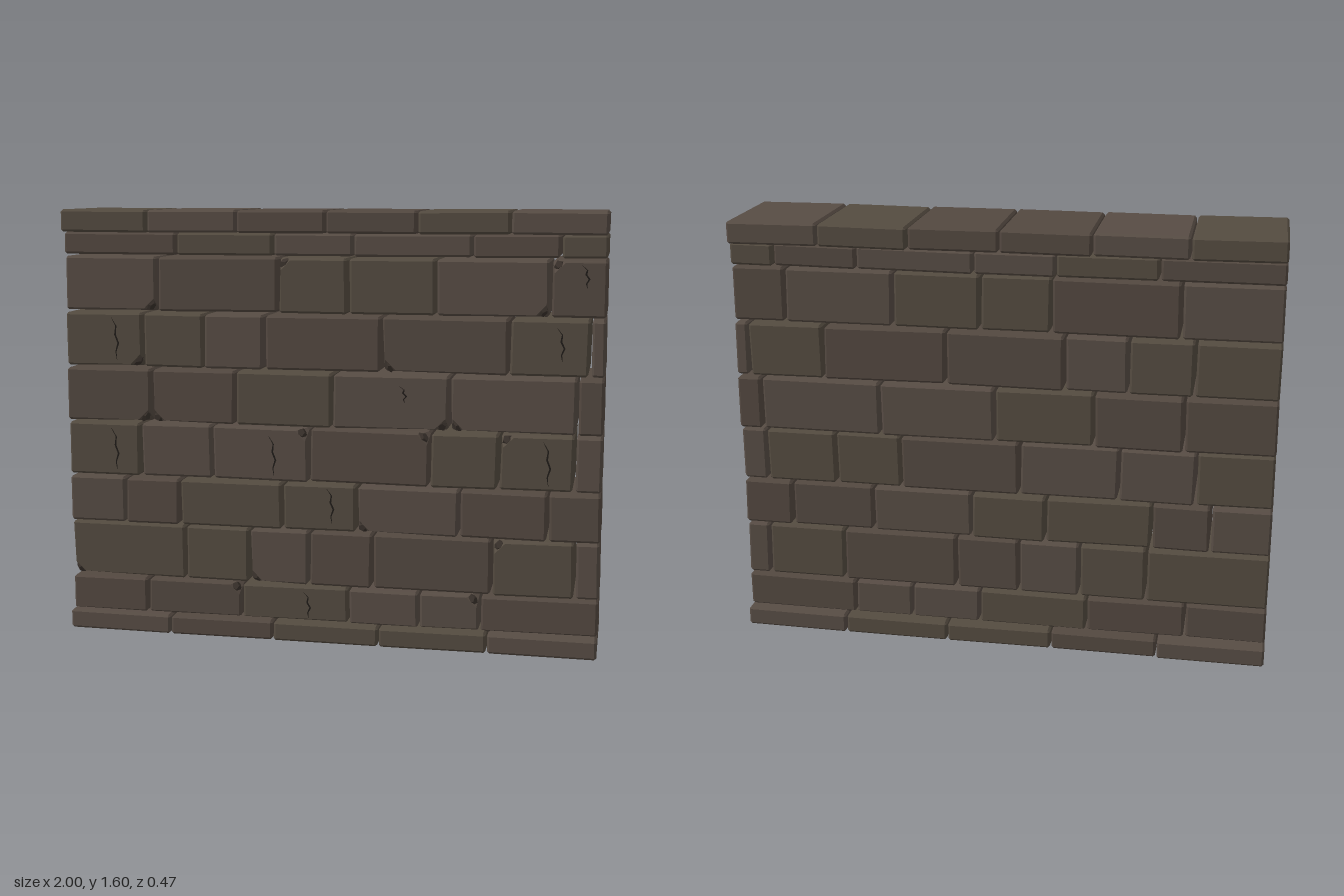
import * as THREE from 'three';
import { ConvexGeometry } from 'three/addons/geometries/ConvexGeometry.js';

const mat = (name, color) => {
  const m = new THREE.MeshStandardMaterial({ color, flatShading: true });
  m.name = name;
  return m;
};

// Courses from bottom to top: y range, z range, x joints, joint gap
const COURSES = [
  { name: 'plinth', y: [0, 0.072], z: [-0.222, 0.224], joints: [-0.6, -0.2, 0.2, 0.6], gap: 0.006 },
  { name: 'brick', y: [0.068, 0.2], z: [-0.174, 0.178], joints: [-0.7, -0.33, 0.08, 0.345, 0.57], gap: 0.009 },
  { name: 'brick', y: [0.208, 0.412], z: [-0.17, 0.176], joints: [-0.55, -0.3, -0.07, 0.17, 0.61, 0.91], gap: 0.01 },
  { name: 'brick', y: [0.42, 0.592], z: [-0.172, 0.184], joints: [-0.78, -0.565, -0.17, 0.11, 0.49, 0.81], gap: 0.01 },
  { name: 'brick', y: [0.601, 0.8], z: [-0.166, 0.174], joints: [-0.72, -0.44, -0.07, 0.38, 0.63, 0.9], gap: 0.01 },
  { name: 'brick', y: [0.81, 1.008], z: [-0.184, 0.187], joints: [-0.67, -0.345, 0.02, 0.45, 0.905], gap: 0.01 },
  { name: 'brick', y: [1.018, 1.217], z: [-0.176, 0.185], joints: [-0.7, -0.465, -0.235, 0.2, 0.66, 0.945], gap: 0.01 },
  { name: 'brick', y: [1.226, 1.426], z: [-0.168, 0.174], joints: [-0.645, -0.185, 0.075, 0.395, 0.8], gap: 0.01 },
  { name: 'corbel', y: [1.434, 1.515], z: [-0.184, 0.176], joints: [-0.565, -0.2, 0.095, 0.525, 0.835], gap: 0.007 },
  { name: 'capStone', y: [1.516, 1.598], z: [-0.205, 0.207], joints: [-0.67, -0.33, 0, 0.33, 0.66], gap: 0.006 },
];

// Broken front corners, near the corner of the brick they belong to
const CHIPS = [
  [-0.73, 1.03], [-0.7, 0.82], [-0.64, 0.82], [0.23, 1.03], [0.77, 1.24], [0.48, 0.83], [0.42, 0.82],
  [-0.1, 0.78], [0.35, 0.78], [0.66, 0.78], [-0.98, 0.23], [-0.27, 0.23], [0.64, 0.39], [0.13, 0.44],
  [-0.35, 0.18], [0.54, 0.18], [-0.67, 1.24], [-0.16, 1.41], [0.83, 1.41],
];

// Cracks: x, top y, bottom y
const CRACKS = [
  [-0.81, 1.2, 1.04], [-0.82, 0.78, 0.62], [-0.21, 0.77, 0.62], [0.8, 0.78, 0.62], [0.01, 0.58, 0.45],
  [-0.08, 0.18, 0.08], [0.84, 1.19, 1.07], [0.92, 1.41, 1.33], [0.28, 0.97, 0.91],
];

export function createModel() {
  const wall = new THREE.Group();
  wall.name = 'stoneWall';
  const stones = [mat('warmStone', 0x574c44), mat('oliveStone', 0x544b40), mat('brownStone', 0x534840)];
  const chipMat = mat('brokenStone', 0x3a322c);
  const crackMat = mat('crackShadow', 0x1f1b18);
  crackMat.side = THREE.DoubleSide;

  let seed = 7;
  const rand = (a) => {
    seed = (seed * 16807) % 2147483647;
    return (seed / 2147483647 * 2 - 1) * a;
  };

  const add = (name, geometry, material) => {
    const mesh = new THREE.Mesh(geometry, material);
    mesh.name = name;
    wall.add(mesh);
    return mesh;
  };

  // Lay out the bricks with small differences in depth and squareness
  const bricks = [];
  for (const { name, y, z, joints, gap } of COURSES) {
    const xs = [-1, ...joints, 0.996];
    for (let i = 0; i < xs.length - 1; i++) {
      const x0 = xs[i] + (i ? gap / 2 : 0);
      const x1 = xs[i + 1] - (i < xs.length - 2 ? gap / 2 : 0);
      bricks.push({
        name, c: [(x0 + x1) / 2, (y[0] + y[1]) / 2, (z[0] + z[1]) / 2 + rand(0.006)],
        h: [(x1 - x0) / 2, (y[1] - y[0]) / 2, (z[1] - z[0]) / 2 + rand(0.003)],
        skew: [rand(0.02), rand(0.008), rand(0.015)], chips: [],
      });
    }
  }
  const place = (b, x, y, z) => new THREE.Vector3(
    THREE.MathUtils.clamp(b.c[0] + x + b.skew[0] * y, -1, 1),
    Math.max(0, b.c[1] + y + b.skew[1] * x),
    b.c[2] + z + b.skew[2] * x);
  const brickAt = (x, y) => bricks.find((b) => b.name === 'brick'
    && Math.abs(x - b.c[0]) <= b.h[0] && Math.abs(y - b.c[1]) <= b.h[1]);

  for (const [x, y] of CHIPS) {
    const b = brickAt(x, y);
    if (b) b.chips.push([Math.sign(x - b.c[0]), Math.sign(y - b.c[1])]);
  }

  // Bevelled stones, with a larger cut on the chipped corners
  bricks.forEach((b, i) => {
    const [hx, hy, hz] = b.h;
    const points = [];
    for (const sx of [-1, 1]) for (const sy of [-1, 1]) for (const sz of [-1, 1]) {
      const chipped = sz > 0 && b.chips.some((c) => c[0] === sx && c[1] === sy);
      const e = 0.008;
      const k = chipped ? 0.045 : e;
      points.push(
        place(b, sx * (hx - k), sy * (hy - e), sz * hz),
        place(b, sx * (hx - e), sy * (hy - k), sz * hz),
        place(b, sx * hx, sy * (hy - e), sz * (hz - k)),
        place(b, sx * (hx - e), sy * hy, sz * (hz - k)));
      if (chipped) {
        // rough rubble left in the broken corner
        const r = new THREE.DodecahedronGeometry(0.024);
        r.scale(1.1, 0.9, 0.75);
        r.rotateZ(rand(1.5));
        const p = place(b, sx * (hx - 0.026), sy * (hy - 0.023), hz - 0.018);
        r.translate(p.x, p.y, p.z);
        add('brokenCorner', r, chipMat);
      }
    }
    add(b.name, new ConvexGeometry(points), stones[(i * 5 + Math.floor(i / 3)) % 3]);
  });

  // Thin zigzag cracks on the front faces
  for (const [x, top, bottom] of CRACKS) {
    const b = brickAt(x, (top + bottom) / 2);
    if (!b) continue;
    const steps = [-0.012, 0.006, 0.002, 0.014, 0.004, 0.008];
    const n = steps.length - 1;
    const edge = (side) => steps.map((dx, i) => new THREE.Vector2(
      x + dx + side * 0.0035 * Math.sin(Math.PI * (i + 0.3) / (n + 0.6)),
      THREE.MathUtils.lerp(top, bottom, i / n)));
    const shape = new THREE.Shape([...edge(-1), ...edge(1).reverse()]);
    const crack = add('crack', new THREE.ShapeGeometry(shape), crackMat);
    crack.position.z = b.c[2] + b.h[2] + b.skew[2] * (x - b.c[0]) + 0.002;
  }
  return wall;
}
